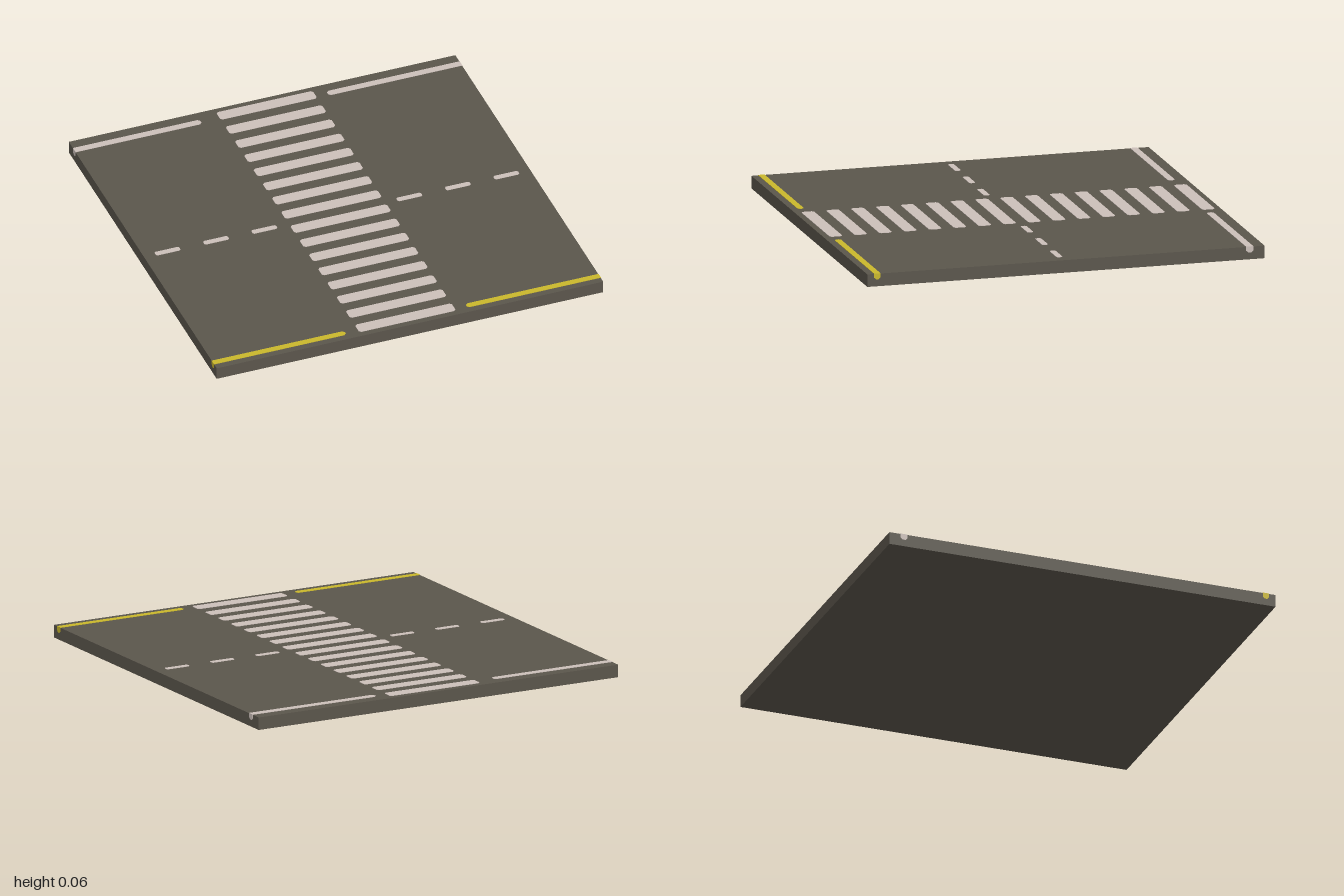
import * as THREE from 'three';

const TOP = 0.0625, HALF = 1, PAINT = 0.002;

// Plate outline with clipped corners; each end can be left square
function plateShape(a0, a1, b0, b1, r0, r1) {
  const s = new THREE.Shape();
  s.moveTo(a0, b0 + r0);
  s.lineTo(a0 + r0, b0);
  s.lineTo(a1 - r1, b0);
  s.lineTo(a1, b0 + r1);
  s.lineTo(a1, b1 - r1);
  s.lineTo(a1 - r1, b1);
  s.lineTo(a0 + r0, b1);
  s.lineTo(a0, b1 - r0);
  s.closePath();
  return s;
}

export function createModel() {
  const asphalt = new THREE.MeshStandardMaterial({ color: 0x5b564c });
  asphalt.name = 'asphalt';
  const white = new THREE.MeshStandardMaterial({ color: 0xccc0ba });
  white.name = 'white paint';
  const yellow = new THREE.MeshStandardMaterial({ color: 0xcab82c });
  yellow.name = 'yellow paint';

  const model = new THREE.Group();
  model.name = 'roadCrossing';

  function add(parent, name, geometry, material) {
    const mesh = new THREE.Mesh(geometry, material);
    mesh.name = name;
    parent.add(mesh);
    return mesh;
  }
  function group(name) {
    const g = new THREE.Group();
    g.name = name;
    model.add(g);
    return g;
  }

  // Thin painted plate lying on the road
  function stripe(parent, name, material, x0, x1, z, width, r0, r1) {
    const shape = plateShape(x0, x1, -width / 2, width / 2, r0, r1);
    const geo = new THREE.ExtrudeGeometry(shape, { depth: PAINT, bevelEnabled: false });
    geo.rotateX(-Math.PI / 2);
    geo.translate(0, TOP, z);
    return add(parent, name, geo, material);
  }

  // Paint running down the side of the slab at the end of an edge line
  function lineEnd(parent, material, side, z, width) {
    const w = width / 2, y0 = 0.034, r = 0.01;
    const s = new THREE.Shape();
    s.moveTo(-w, TOP + PAINT);
    s.lineTo(-w, y0 + r);
    s.lineTo(-w + r, y0);
    s.lineTo(w - r, y0);
    s.lineTo(w, y0 + r);
    s.lineTo(w, TOP + PAINT);
    s.closePath();
    const geo = new THREE.ExtrudeGeometry(s, { depth: 0.001, bevelEnabled: false });
    geo.rotateY(side * Math.PI / 2);
    geo.translate(side * HALF, 0, z);
    add(parent, 'lineEnd', geo, material);
  }

  // Road slab
  const slab = add(model, 'roadSlab', new THREE.BoxGeometry(2, TOP, 2), asphalt);
  slab.position.y = TOP / 2;

  // Crosswalk bars
  const crosswalk = group('crosswalk');
  for (let i = 0; i < 16; i++) {
    stripe(crosswalk, 'crosswalkBar', white, -0.25, 0.25, -0.9375 + i * 0.125, 0.064, 0.01, 0.01);
  }

  // Centre line dashes
  const centreLine = group('centreLine');
  for (const x of [-0.877, -0.626, -0.376, 0.374, 0.625, 0.876]) {
    stripe(centreLine, 'centreDash', white, x - 0.064, x + 0.064, 0.014, 0.03, 0.007, 0.007);
  }

  // Edge lines, broken at the crosswalk
  const edges = [
    { name: 'whiteEdgeLine', material: white, z: -0.925, width: 0.036, left: -0.345, right: 0.31 },
    { name: 'yellowEdgeLine', material: yellow, z: 0.95, width: 0.032, left: -0.315, right: 0.31 },
  ];
  for (const e of edges) {
    const g = group(e.name);
    stripe(g, 'edgeStripe', e.material, -HALF, e.left, e.z, e.width, 0, 0.011);
    stripe(g, 'edgeStripe', e.material, e.right, HALF, e.z, e.width, 0.011, 0);
    for (const side of [-1, 1]) lineEnd(g, e.material, side, e.z, e.width);
  }

  return model;
}
